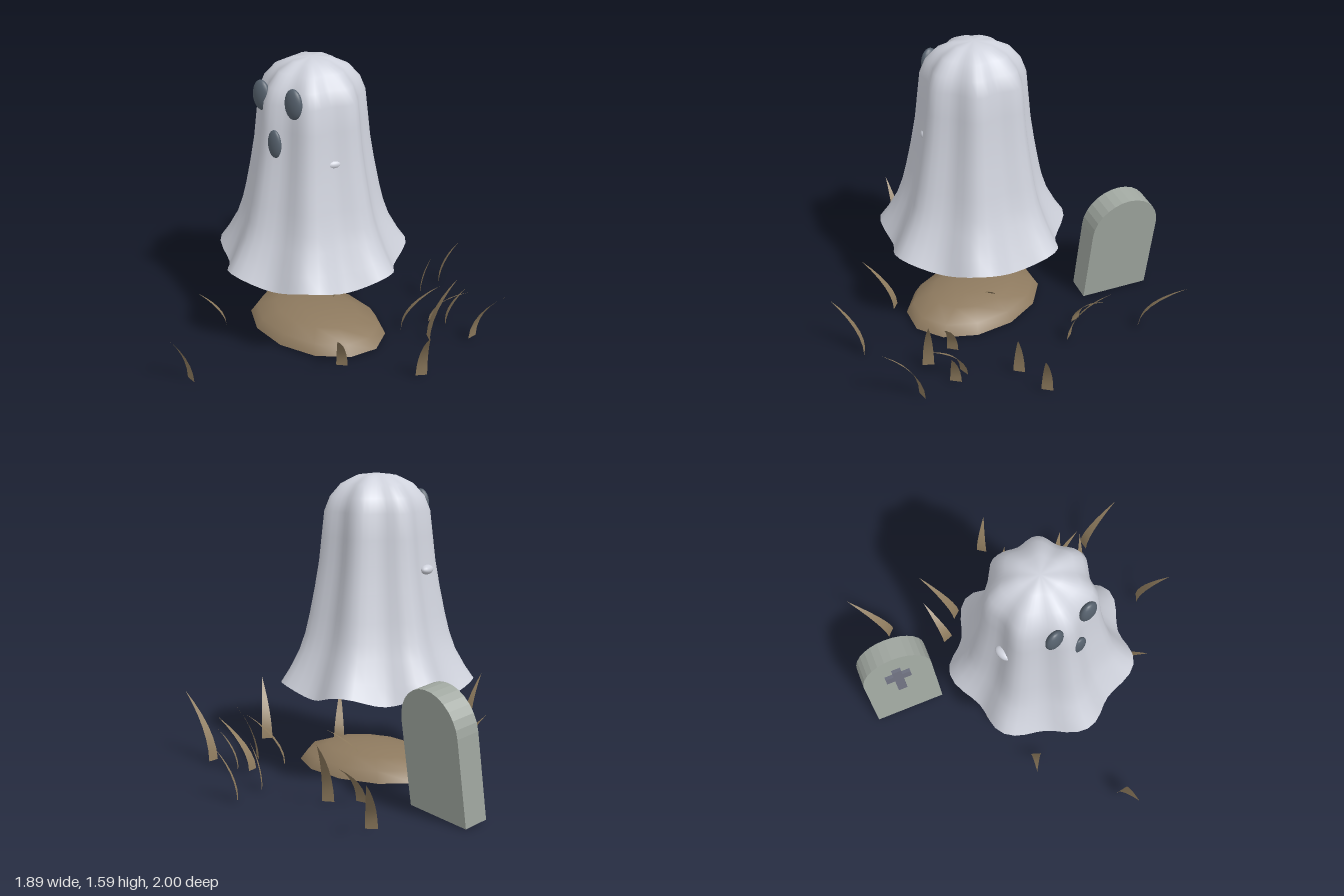
import * as THREE from 'three';
import { mergeVertices } from 'three/addons/utils/BufferGeometryUtils.js';

const mat = (name, color, side = THREE.FrontSide) => {
  const m = new THREE.MeshStandardMaterial({ color, side });
  m.name = name;
  return m;
};

function addMesh(parent, name, geometry, material, x = 0, y = 0, z = 0) {
  const mesh = new THREE.Mesh(geometry, material);
  mesh.name = name;
  mesh.position.set(x, y, z);
  parent.add(mesh);
  return mesh;
}

// Lathe with a welded seam, so that moved vertices still shade smoothly
function weldedLathe(profile, segments) {
  const g = new THREE.LatheGeometry(profile.map(([r, y]) => new THREE.Vector2(r, y)), segments);
  g.deleteAttribute('uv');
  g.deleteAttribute('normal');
  return mergeVertices(g, 1e-5);
}

// Draped sheet: seven folds that deepen toward a wavy hem
function sheetGeometry() {
  const g = weldedLathe([
    [0.49, 0.48], [0.445, 0.56], [0.395, 0.67], [0.365, 0.76], [0.342, 0.86], [0.315, 1.0],
    [0.292, 1.14], [0.278, 1.27], [0.264, 1.4], [0.235, 1.475], [0.18, 1.54], [0.1, 1.58], [0, 1.592],
  ], 56);
  const p = g.attributes.position;
  for (let i = 0; i < p.count; i++) {
    const x = p.getX(i), y = p.getY(i), z = p.getZ(i);
    const r = Math.hypot(x, z);
    if (r < 1e-4) continue;
    const wave = Math.cos(7 * Math.atan2(z, x));
    const k = 1 + 0.07 * wave;
    const hem = THREE.MathUtils.clamp((0.67 - y) / 0.19, 0, 1);
    p.setXYZ(i, x * k, y + 0.027 * wave * hem, z * k);
  }
  g.computeVertexNormals();
  return g;
}

// Flat tapered blade that bends from its base toward its tip
function bladeGeometry(dx, dz, height, width = 0.062) {
  const length = Math.hypot(dx, dz), steps = 6;
  const sx = -dz / length, sz = dx / length;
  const pos = [], index = [];
  for (let i = 0; i <= steps; i++) {
    const t = i / steps, bend = t ** 1.9, w = (width / 2) * (1 - bend * 0.75 - t * 0.25);
    for (const s of [-1, 1]) pos.push(dx * bend + s * sx * w, height * t, dz * bend + s * sz * w);
    if (i < steps) {
      const a = i * 2;
      index.push(a, a + 2, a + 1, a + 1, a + 2, a + 3);
    }
  }
  const g = new THREE.BufferGeometry();
  g.setAttribute('position', new THREE.Float32BufferAttribute(pos, 3));
  g.setIndex(index);
  g.computeVertexNormals();
  return g;
}

export function createModel() {
  const model = new THREE.Group();
  const sheet = mat('pale sheet', 0xcfd2dc, THREE.DoubleSide);
  const slate = mat('dark slate', 0x56616d);
  const stone = mat('grey stone', 0xa1a8a1);
  const crossMat = mat('blue grey', 0x6e7180);
  const earth = mat('brown earth', 0x8e7a5f, THREE.DoubleSide);
  const straw = mat('dry grass', 0x8e7b5e, THREE.DoubleSide);

  // Ghost
  const ghost = new THREE.Group();
  ghost.name = 'ghost';
  ghost.position.set(-0.05, 0, 0.03);
  model.add(ghost);
  addMesh(ghost, 'sheetBody', sheetGeometry(), sheet);
  const ball = new THREE.SphereGeometry(1, 20, 14);
  addMesh(ghost, 'leftEye', ball, slate, 0.09, 1.42, 0.24).scale.set(0.053, 0.08, 0.03);
  addMesh(ghost, 'rightEye', ball, slate, -0.125, 1.42, 0.24).scale.set(0.053, 0.08, 0.03);
  addMesh(ghost, 'mouth', ball, slate, 0.0, 1.2, 0.285).scale.set(0.042, 0.075, 0.022);

  // Hand tips nudging the cloth in the side folds
  for (const [name, x, z, turn] of [['leftHand', 0.235, 0.105, 0.45], ['rightHand', -0.285, 0.04, -0.1]]) {
    const hand = addMesh(ghost, name, ball, sheet, x, 1.1, z);
    hand.scale.set(0.03, 0.025, 0.05);
    hand.rotation.y = -turn;
  }

  // Leaning gravestone with a raised cross
  const grave = new THREE.Group();
  grave.name = 'gravestone';
  grave.position.set(-0.735, 0.009, -0.4);
  grave.rotation.set(-0.14, -0.34, 0, 'YXZ');
  model.add(grave);
  const slab = new THREE.Shape();
  slab.moveTo(-0.2, 0);
  slab.lineTo(0.2, 0);
  slab.lineTo(0.2, 0.45);
  slab.absarc(0, 0.45, 0.2, 0, Math.PI, false);
  slab.lineTo(-0.2, 0);
  const slabGeo = new THREE.ExtrudeGeometry(slab, { depth: 0.13, bevelEnabled: false, curveSegments: 7 });
  addMesh(grave, 'slab', slabGeo, stone, 0, 0, -0.065);
  addMesh(grave, 'crossUpright', new THREE.BoxGeometry(0.052, 0.22, 0.03), crossMat, 0, 0.42, 0.07);
  addMesh(grave, 'crossArms', new THREE.BoxGeometry(0.146, 0.052, 0.03), crossMat, 0, 0.458, 0.07);

  // Hollow low mound of earth
  const moundGeo = weldedLathe([[1, 0], [0.9, 0.055], [0.62, 0.098], [0.3, 0.115], [0, 0.118]], 12);
  moundGeo.scale(0.425, 1, 0.31);
  moundGeo.computeVertexNormals();
  addMesh(model, 'mound', moundGeo, earth, -0.035, 0.013, 0.01);

  // Grass: base x, base z, tip x, tip z, height
  const blades = [
    [-0.545, -0.785, -0.655, -1.0, 0.3], [-0.175, -0.605, -0.255, -0.81, 0.36],
    [-0.315, -0.52, -0.315, -0.72, 0.23], [0.22, -0.825, 0.31, -0.89, 0.27],
    [0.225, -0.625, 0.275, -0.66, 0.25], [0.44, -0.435, 0.67, -0.44, 0.26],
    [0.52, -0.46, 0.6, -0.52, 0.22], [0.72, -0.43, 0.94, -0.4, 0.36],
    [0.36, -0.255, 0.53, -0.37, 0.28], [0.54, -0.265, 0.635, -0.385, 0.36],
    [0.72, 0.05, 0.845, 0.165, 0.34], [0.345, 0.25, 0.445, 0.41, 0.27],
    [-0.395, 0.37, -0.49, 0.49, 0.23], [-0.17, 0.86, -0.195, 1.0, 0.32],
    [-0.08, -0.1, 0.1, -0.23, 0.23],
  ];
  const grass = new THREE.Group();
  grass.name = 'grass';
  model.add(grass);
  for (const [bx, bz, tx, tz, h] of blades) {
    addMesh(grass, 'grassBlade', bladeGeometry(tx - bx, tz - bz, h), straw, bx, 0.012, bz);
  }
  return model;
}
